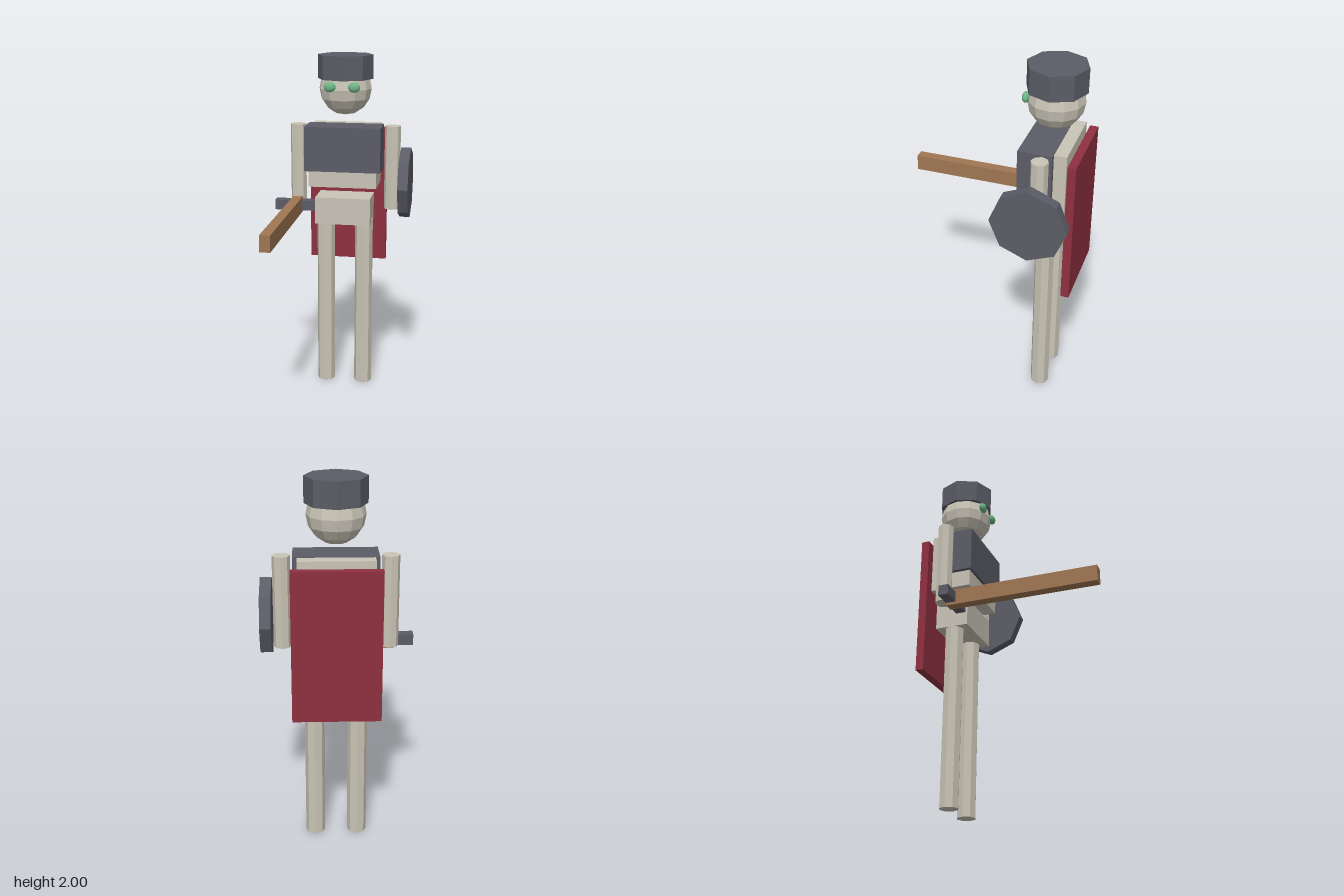
import * as THREE from 'three';

export function createModel() {
  const model = new THREE.Group();
  model.name = 'skeletonSoldier';

  const material = (name, color) => {
    const m = new THREE.MeshStandardMaterial({ color, flatShading: true });
    m.name = name;
    return m;
  };
  const bone = material('bone', 0xc9c4b6);
  const iron = material('iron', 0x5b5c66);
  const cloth = material('red cloth', 0x8f3040);
  const wood = material('wood', 0xa07653);
  const glow = material('green eye', 0x6fb888);
  glow.flatShading = false;

  const add = (name, geometry, mat, x, y, z) => {
    const mesh = new THREE.Mesh(geometry, mat);
    mesh.name = name;
    mesh.position.set(x, y, z);
    model.add(mesh);
    return mesh;
  };
  // Box given by its lower and upper corners
  const box = (name, mat, [x0, y0, z0], [x1, y1, z1]) =>
    add(name, new THREE.BoxGeometry(x1 - x0, y1 - y0, z1 - z0), mat,
      (x0 + x1) / 2, (y0 + y1) / 2, (z0 + z1) / 2);
  // Upright eight-sided post from y0 to y1
  const post = (name, mat, r, x, y0, y1, z) =>
    add(name, new THREE.CylinderGeometry(r, r, y1 - y0, 8), mat, x, (y0 + y1) / 2, z);

  const cx = 0.007, cz = -0.356; // body axis

  // Head and helmet
  add('head', new THREE.SphereGeometry(0.151, 12, 8), bone, cx, 1.81, cz);
  post('helmet', iron, 0.16, cx, 1.865, 2, cz);

  // Torso
  box('chest', bone, [-0.19, 1.251, -0.473], [0.204, 1.6, -0.237]);
  box('breastplate', iron, [-0.212, 1.345, -0.405], [0.227, 1.602, -0.221]);
  box('pelvis', bone, [-0.157, 1.023, -0.449], [0.167, 1.182, -0.26]);
  box('cape', cloth, [-0.224, 0.756, -0.53], [0.238, 1.564, -0.485]);

  // Paired parts
  for (const [side, s] of [['left', 1], ['right', -1]]) {
    post(side + 'Leg', bone, 0.053, cx + s * 0.114, 0, 1.041, cz);
    post(side + 'Arm', bone, 0.046, cx + s * 0.277, 1.113, 1.6, cz);
    add(side + 'Eye', new THREE.SphereGeometry(1, 12, 8), glow, cx + s * 0.069, 1.83, -0.217)
      .scale.set(0.034, 0.029, 0.021);
  }

  // Shield at the left arm
  add('shield', new THREE.CylinderGeometry(0.206, 0.206, 0.058, 8), iron, 0.364, 1.274, -0.333)
    .rotation.z = Math.PI / 2;

  // Wooden sword in the right hand
  box('swordBlade', wood, [-0.298, 1.082, -0.325], [-0.241, 1.172, 0.535]);
  box('swordGuard', iron, [-0.398, 1.098, -0.328], [-0.142, 1.156, -0.271]);

  return model;
}
